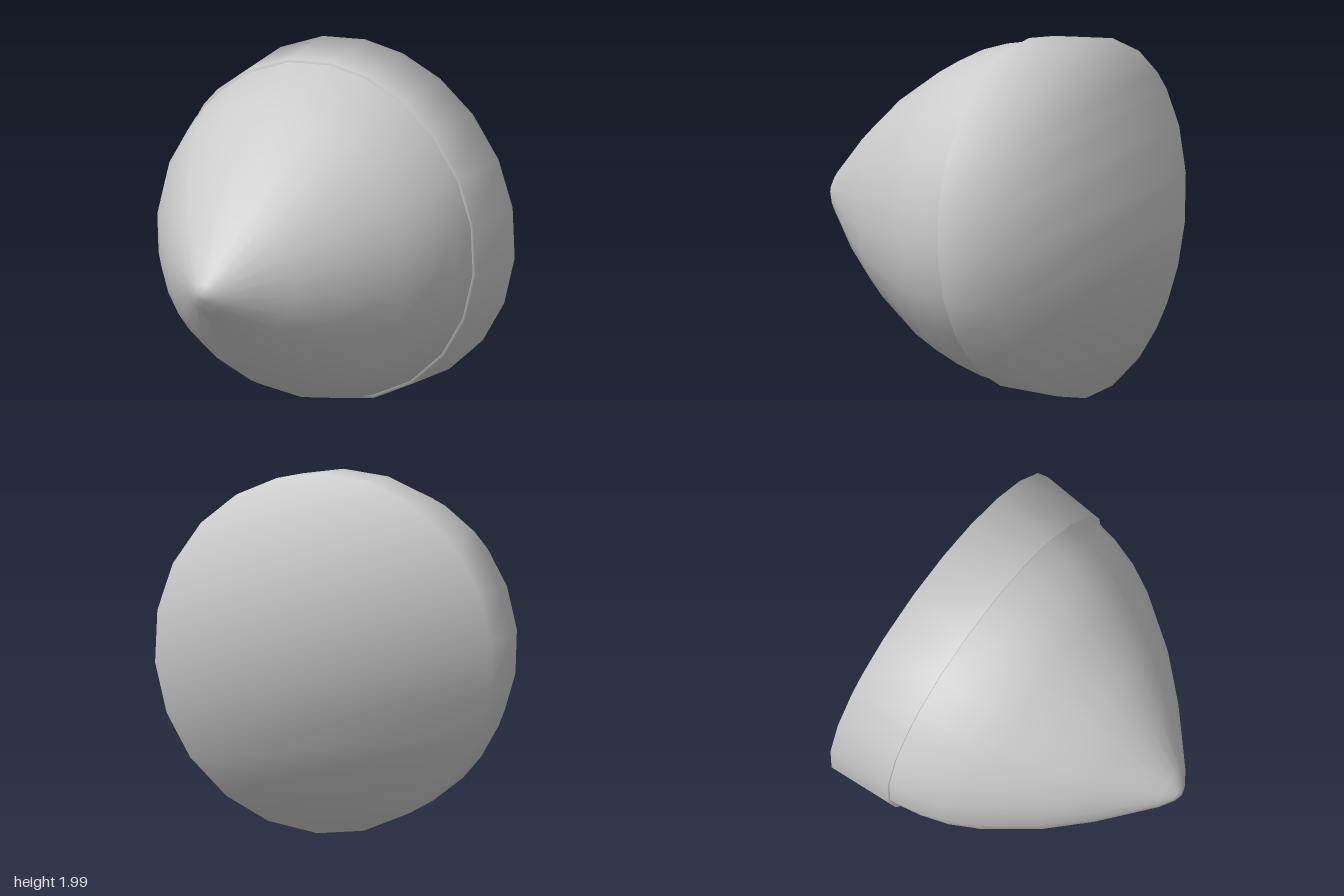
import * as THREE from 'three';

// Slightly uneven rim facets: degrees clockwise from the top, seen from the front
const ANGLES = [1.7, 16, 31, 46.5, 63, 79, 95.7, 112, 128, 145, 161, 178,
  194, 211, 224, 233.6, 246, 260, 276, 292, 307, 315, 329, 346]
  .map(THREE.MathUtils.degToRad);
const N = ANGLES.length;
const CENTRE_Y = 1.003;

// Rings around the z axis; profile is [radius, z] from back to front
function ringSurface(name, profile, capBack) {
  const pos = [], index = [];
  for (const [r, z] of profile) {
    for (const a of ANGLES) pos.push(r * Math.sin(a), CENTRE_Y + r * Math.cos(a), z);
  }
  for (let j = 0; j < profile.length - 1; j++) {
    for (let i = 0; i < N; i++) {
      const a = j * N + i, b = j * N + (i + 1) % N, c = b + N, d = a + N;
      index.push(a, d, c, a, c, b);
    }
  }
  // Flat back disc, cut in level strips and sharing the rim vertices
  if (capBack) {
    index.push(0, 1, N - 1);
    for (let i = 1; i < N / 2; i++) {
      index.push(i, i + 1, N - i);
      if (i + 1 < N / 2) index.push(i + 1, N - 1 - i, N - i);
    }
  }
  const geo = new THREE.BufferGeometry();
  geo.setAttribute('position', new THREE.Float32BufferAttribute(pos, 3));
  geo.setIndex(index);
  geo.computeVertexNormals();

  const normal = geo.attributes.normal;
  const last = (profile.length - 1) * N;
  ANGLES.forEach((a, i) => {
    // Soft shading over the rim onto the back disc
    if (capBack) {
      const n = new THREE.Vector3(Math.sin(a), Math.cos(a), -0.8).normalize();
      normal.setXYZ(i, n.x, n.y, n.z);
    }
    // Tip points straight forward
    if (profile.at(-1)[0] === 0) normal.setXYZ(last + i, 0, 0, 1);
  });

  const mesh = new THREE.Mesh(geo, new THREE.MeshStandardMaterial({ color: 0xcccccc, side: THREE.DoubleSide }));
  mesh.name = name;
  return mesh;
}

export function createModel() {
  const group = new THREE.Group();
  group.name = 'noseCone';

  // Curved cone running to a small blunt tip
  group.add(ringSurface('cone', [
    [0.957, -0.47], [0.93, -0.32], [0.88, -0.16], [0.8, 0], [0.6, 0.29],
    [0.4, 0.51], [0.13, 0.76], [0.05, 0.815], [0, 0.833],
  ], false));

  // Slightly flared collar with a small front lip and a closed back
  group.add(ringSurface('collar', [
    [0.997, -0.833], [0.974, -0.46], [0.945, -0.46],
  ], true));

  return group;
}
